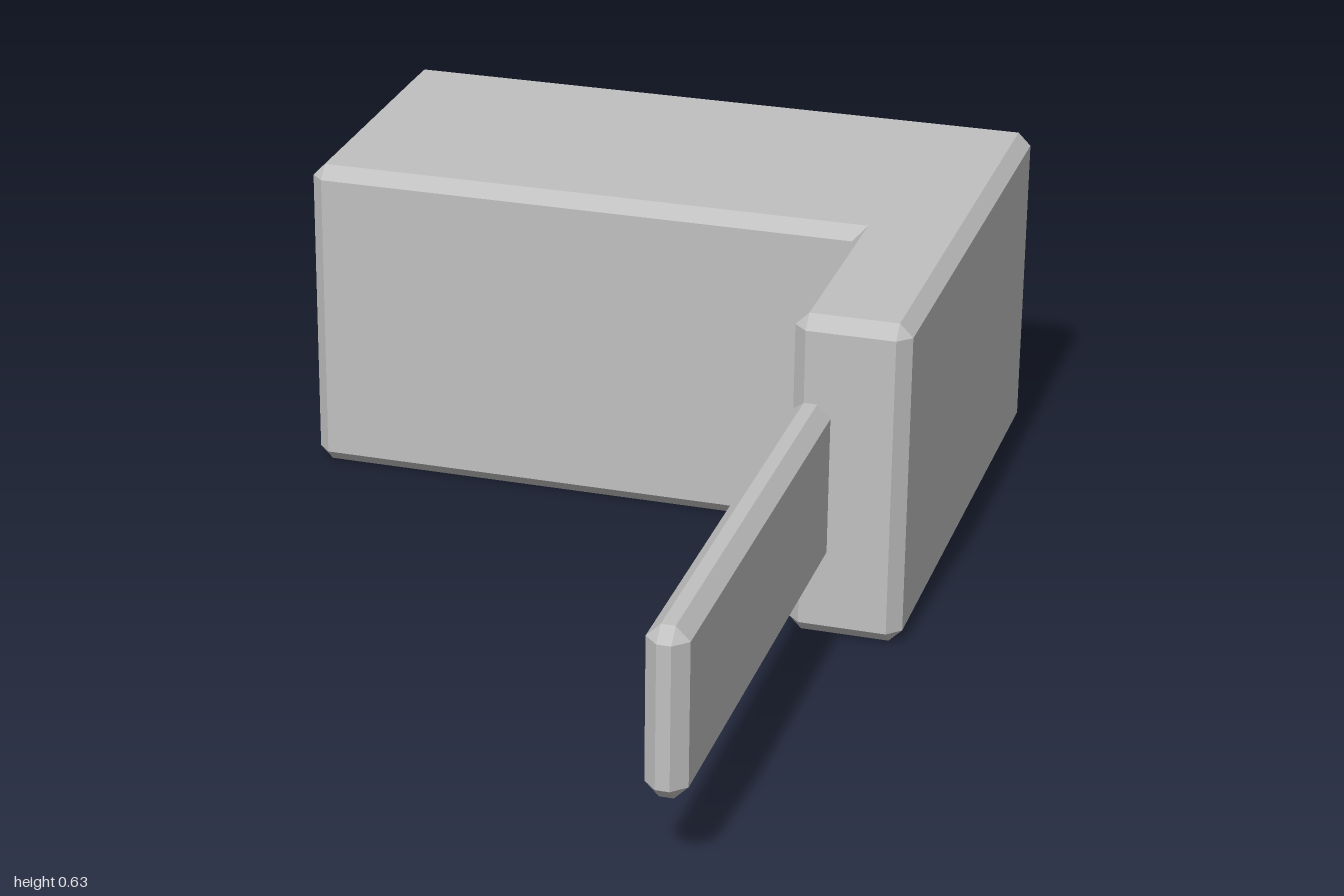
import * as THREE from 'three';

const CHAMFER = 0.025;

// Upright prism with all convex edges chamfered. Corners are [x, z],
// counterclockwise from above. openWall leaves out the wall after that corner.
function chamferedPrism(corners, y0, y1, c, openWall = -1) {
  const n = corners.length;
  const pts = corners.map(([x, z]) => new THREE.Vector2(x, z));
  const outer = [], inner = [];
  pts.forEach((p, i) => {
    const d0 = p.clone().sub(pts[(i + n - 1) % n]).normalize();
    const d1 = pts[(i + 1) % n].clone().sub(p).normalize();
    const convex = d0.y * d1.x - d0.x * d1.y > 0;
    const s = convex ? c : -c;
    const inset = p.clone().addScaledVector(d0, -s).addScaledVector(d1, s);
    inner.push(inset, inset);
    if (convex) outer.push(p.clone().addScaledVector(d0, -c), p.clone().addScaledVector(d1, c));
    else outer.push(p, p);
  });

  const rings = [[inner, y0], [outer, y0 + c], [outer, y1 - c], [inner, y1]]
    .map(([ring, y]) => ring.map(p => new THREE.Vector3(p.x, y, p.y)));
  const positions = [];
  const triangle = (a, b, d) => {
    if (a.distanceTo(b) < 1e-6 || b.distanceTo(d) < 1e-6 || d.distanceTo(a) < 1e-6) return;
    for (const v of [a, b, d]) positions.push(v.x, v.y, v.z);
  };

  // Sides and chamfers
  for (let r = 0; r < 3; r++) {
    for (let i = 0; i < 2 * n; i++) {
      if (r === 1 && i === 2 * openWall + 1) continue;
      const j = (i + 1) % (2 * n);
      triangle(rings[r][i], rings[r][j], rings[r + 1][j]);
      triangle(rings[r][i], rings[r + 1][j], rings[r + 1][i]);
    }
  }
  // Top and bottom
  const cap = pts.map((p, i) => new THREE.Vector2(inner[2 * i].x, -inner[2 * i].y));
  for (const [a, b, d] of THREE.ShapeUtils.triangulateShape(cap, [])) {
    triangle(rings[3][2 * a], rings[3][2 * b], rings[3][2 * d]);
    triangle(rings[0][2 * a], rings[0][2 * d], rings[0][2 * b]);
  }

  const geometry = new THREE.BufferGeometry();
  geometry.setAttribute('position', new THREE.Float32BufferAttribute(positions, 3));
  geometry.computeVertexNormals();
  return geometry;
}

export function createModel() {
  const model = new THREE.Group();
  model.name = 'angledBlockWithBlade';
  const metal = new THREE.MeshStandardMaterial({ color: 0xc0c0c0 });
  metal.name = 'light grey';

  const add = (name, geometry) => {
    const mesh = new THREE.Mesh(geometry, metal);
    mesh.name = name;
    model.add(mesh);
    return mesh;
  };

  // L-shaped body, its end wall left open for the bored plate
  add('body', chamferedPrism(
    [[-0.65, -1], [-0.65, -0.37], [0.435, -0.37], [0.435, 0.07], [0.65, 0.07], [0.65, -1]],
    0, 0.63, CHAMFER, 0));

  // Thin blade, its rear end sunk into the body
  add('blade', chamferedPrism(
    [[0.435, 0.02], [0.435, 1], [0.51, 1], [0.51, 0.02]], 0.15, 0.465, CHAMFER));

  // End wall with a round opening
  const holeY = 0.315, holeZ = -0.685, mouth = 0.137, bore = 0.112, depth = 0.8;
  const wall = new THREE.Shape([
    new THREE.Vector2(-1 + CHAMFER, CHAMFER), new THREE.Vector2(-0.37 - CHAMFER, CHAMFER),
    new THREE.Vector2(-0.37 - CHAMFER, 0.63 - CHAMFER), new THREE.Vector2(-1 + CHAMFER, 0.63 - CHAMFER),
  ]);
  wall.holes.push(new THREE.Path().absarc(holeZ, holeY, mouth, 0, Math.PI * 2, true));
  add('endWall', new THREE.ShapeGeometry(wall, 24).rotateY(-Math.PI / 2)).position.x = -0.65;

  // Countersink, bore and bore floor, facing inward
  const lathes = {
    countersink: [[mouth, 0], [bore, -CHAMFER]],
    bore: [[bore, -CHAMFER], [bore, -depth]],
    boreFloor: [[bore, -depth], [0, -depth]],
  };
  for (const [name, profile] of Object.entries(lathes)) {
    const points = profile.map(([r, y]) => new THREE.Vector2(r, y));
    add(name, new THREE.LatheGeometry(points, 48).rotateZ(Math.PI / 2))
      .position.set(-0.65, holeY, holeZ);
  }

  return model;
}
